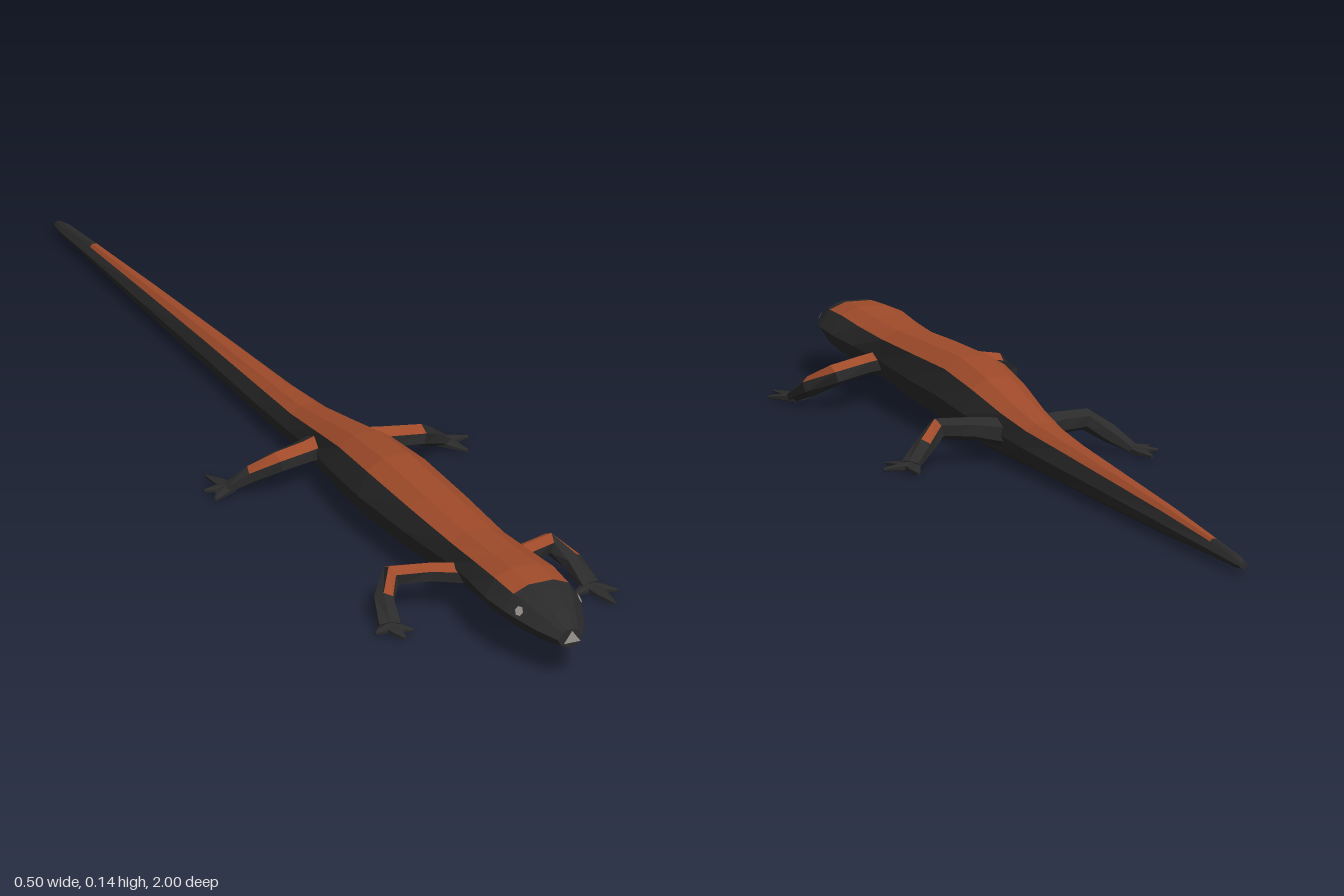
import * as THREE from 'three';

const mat = (name, color, extra = {}) => {
  const m = new THREE.MeshStandardMaterial({ color, flatShading: true, ...extra });
  m.name = name;
  return m;
};

// Skin a list of rings; pick(i, j) gives the material index of each panel
function loft(rings, pick, materials, name) {
  const buckets = materials.map(() => []);
  const tri = (k, ...pts) => pts.forEach(p => buckets[k].push(p.x, p.y, p.z));
  const n = rings[0].length;
  for (let i = 0; i < rings.length - 1; i++) {
    for (let j = 0; j < n; j++) {
      const k = pick(i, j), j2 = (j + 1) % n;
      const a = rings[i][j], b = rings[i][j2], c = rings[i + 1][j2], d = rings[i + 1][j];
      tri(k, a, d, c);
      tri(k, a, c, b);
    }
  }
  const last = rings[rings.length - 1];
  for (let j = 1; j < n - 1; j++) {
    tri(0, rings[0][0], rings[0][j], rings[0][j + 1]);
    tri(0, last[0], last[j + 1], last[j]);
  }
  const geo = new THREE.BufferGeometry();
  geo.setAttribute('position', new THREE.Float32BufferAttribute(buckets.flat(), 3));
  let start = 0;
  buckets.forEach((b, k) => {
    if (b.length) geo.addGroup(start, b.length / 3, k);
    start += b.length / 3;
  });
  geo.computeVertexNormals();
  const mesh = new THREE.Mesh(geo, materials);
  mesh.name = name;
  return mesh;
}

// Six-sided tapering limb along points [x, y, z, half width, half height]
function limb(points, pick, materials, name) {
  const P = points.map(p => new THREE.Vector3(p[0], p[1], p[2]));
  const up = new THREE.Vector3(0, 1, 0);
  const rings = P.map((p, i) => {
    const t = P[Math.min(i + 1, P.length - 1)].clone().sub(P[Math.max(i - 1, 0)]).normalize();
    const s = t.clone().cross(up).normalize();
    const u = s.clone().cross(t);
    return Array.from({ length: 6 }, (_, j) => {
      const a = (30 + 60 * j) * Math.PI / 180;
      const q = p.clone().addScaledVector(s, Math.cos(a) * points[i][3])
        .addScaledVector(u, Math.sin(a) * points[i][4]);
      q.y = Math.max(q.y, 0.004);
      return q;
    });
  });
  return loft(rings, pick, materials, name);
}

export function createModel() {
  const black = mat('black skin', 0x2b2b2b);
  const orange = mat('orange back', 0xa04b2a);
  const grey = mat('pale grey', 0x9a9590, { side: THREE.DoubleSide });
  const skin = [black, orange];
  const group = new THREE.Group();
  group.name = 'salamander';

  // Body sections: z, centre x, half width, bottom, top, stripe fraction
  const sections = [
    [1.0, -0.015, 0.024, 0.065, 0.098, 0.6],
    [0.955, -0.013, 0.046, 0.055, 0.116, 0.65],
    [0.9, -0.011, 0.066, 0.052, 0.131, 0.7],
    [0.875, -0.01, 0.071, 0.05, 0.134, 0.74],
    [0.81, -0.01, 0.075, 0.044, 0.138, 0.74],
    [0.73, -0.01, 0.066, 0.038, 0.133, 0.8],
    [0.63, -0.012, 0.057, 0.026, 0.13, 0.88],
    [0.48, -0.014, 0.066, 0.014, 0.136, 0.82],
    [0.32, -0.016, 0.071, 0.008, 0.14, 0.78],
    [0.19, -0.011, 0.065, 0.004, 0.127, 0.76],
    [0.07, -0.01, 0.047, 0.004, 0.104, 0.85],
    [-0.03, -0.012, 0.041, 0.005, 0.088, 0.8],
    [-0.15, -0.013, 0.037, 0.004, 0.08, 0.72],
    [-0.4, -0.013, 0.029, 0.004, 0.068, 0.68],
    [-0.65, -0.014, 0.023, 0.006, 0.055, 0.6],
    [-0.86, -0.014, 0.017, 0.01, 0.041, 0.5],
    [-0.97, -0.015, 0.013, 0.011, 0.032, 0.6],
    [-1.0, -0.015, 0.008, 0.014, 0.025, 0.6],
  ];
  const rings = sections.map(([z, cx, w, lo, hi, o]) => [
    [1, 0.52], [o, 0.86], [o * 0.45, 1], [-o * 0.45, 1], [-o, 0.86],
    [-1, 0.52], [-0.72, 0.17], [-0.22, 0], [0.22, 0], [0.72, 0.17],
  ].map(([x, y]) => new THREE.Vector3(cx + x * w, lo + y * (hi - lo), z)));
  const striped = (i, j) => (i >= 3 && i < 15 && j >= 1 && j <= 3 ? 1 : 0);
  group.add(loft(rings, striped, skin, 'body'));

  // Legs: joints from body to palm, then toe tips as [x, z]
  const legs = [
    ['frontLeftLeg', [[0.02, 0.07, 0.67, 0.024, 0.02], [0.075, 0.07, 0.638, 0.022, 0.018],
      [0.135, 0.064, 0.607, 0.023, 0.019], [0.163, 0.04, 0.645, 0.018, 0.018],
      [0.172, 0.014, 0.695, 0.019, 0.009]], [[0.21, 0.725], [0.183, 0.77], [0.135, 0.71]]],
    ['frontRightLeg', [[-0.04, 0.07, 0.67, 0.024, 0.02], [-0.1, 0.07, 0.635, 0.022, 0.018],
      [-0.163, 0.064, 0.605, 0.024, 0.019], [-0.195, 0.04, 0.64, 0.019, 0.018],
      [-0.208, 0.014, 0.69, 0.022, 0.009]], [[-0.24, 0.7], [-0.202, 0.738], [-0.175, 0.715]]],
    ['hindLeftLeg', [[0.01, 0.055, 0.07, 0.03, 0.026], [0.07, 0.062, 0.095, 0.025, 0.02],
      [0.13, 0.062, 0.113, 0.024, 0.019], [0.165, 0.038, 0.085, 0.018, 0.017],
      [0.2, 0.014, 0.058, 0.02, 0.009]], [[0.25, 0.057], [0.205, 0.0], [0.225, 0.108]]],
    ['hindRightLeg', [[-0.03, 0.055, 0.065, 0.03, 0.026], [-0.08, 0.062, 0.09, 0.025, 0.02],
      [-0.137, 0.062, 0.105, 0.024, 0.019], [-0.175, 0.038, 0.085, 0.018, 0.017],
      [-0.21, 0.014, 0.065, 0.02, 0.009]], [[-0.25, 0.095], [-0.222, 0.003], [-0.252, 0.055]]],
  ];
  for (const [name, joints, toes] of legs) {
    const leg = new THREE.Group();
    leg.name = name;
    const front = name.startsWith('front');
    // Orange along the top of the upper leg, thinning out past the joint
    const patch = (i, j) => {
      if (i < 2) return front ? +(j < 2) : +(j === (name.includes('Left') ? 0 : 1));
      return i === 2 && j === 1 ? 1 : 0;
    };
    leg.add(limb(joints, patch, skin, 'limb'));
    const [px, , pz] = joints[joints.length - 1];
    toes.forEach(([x, z]) => leg.add(limb([
      [px, 0.012, pz, 0.016, 0.009],
      [px + (x - px) * 0.5, 0.011, pz + (z - pz) * 0.5, 0.012, 0.006],
      [x, 0.009, z, 0.003, 0.003],
    ], () => 0, skin, 'toe')));
    group.add(leg);
  }

  // Pale snout plate
  const plate = new THREE.Shape([[-0.016, -0.01], [0.016, -0.01], [0, 0.012]]
    .map(([x, y]) => new THREE.Vector2(x, y)));
  const snout = new THREE.Mesh(new THREE.ShapeGeometry(plate), grey);
  snout.name = 'snout';
  snout.position.set(-0.012, 0.083, 1.001);
  group.add(snout);

  // Small pale eyes set flat on the sides of the head
  for (const side of [-1, 1]) {
    const eye = new THREE.Mesh(new THREE.CircleGeometry(0.009, 6), grey);
    eye.name = side > 0 ? 'leftEye' : 'rightEye';
    eye.position.set(-0.011 + side * 0.058, 0.106, 0.91);
    eye.lookAt(eye.position.clone().add(new THREE.Vector3(side * 0.8, 0.45, 0.35)));
    group.add(eye);
  }
  return group;
}
